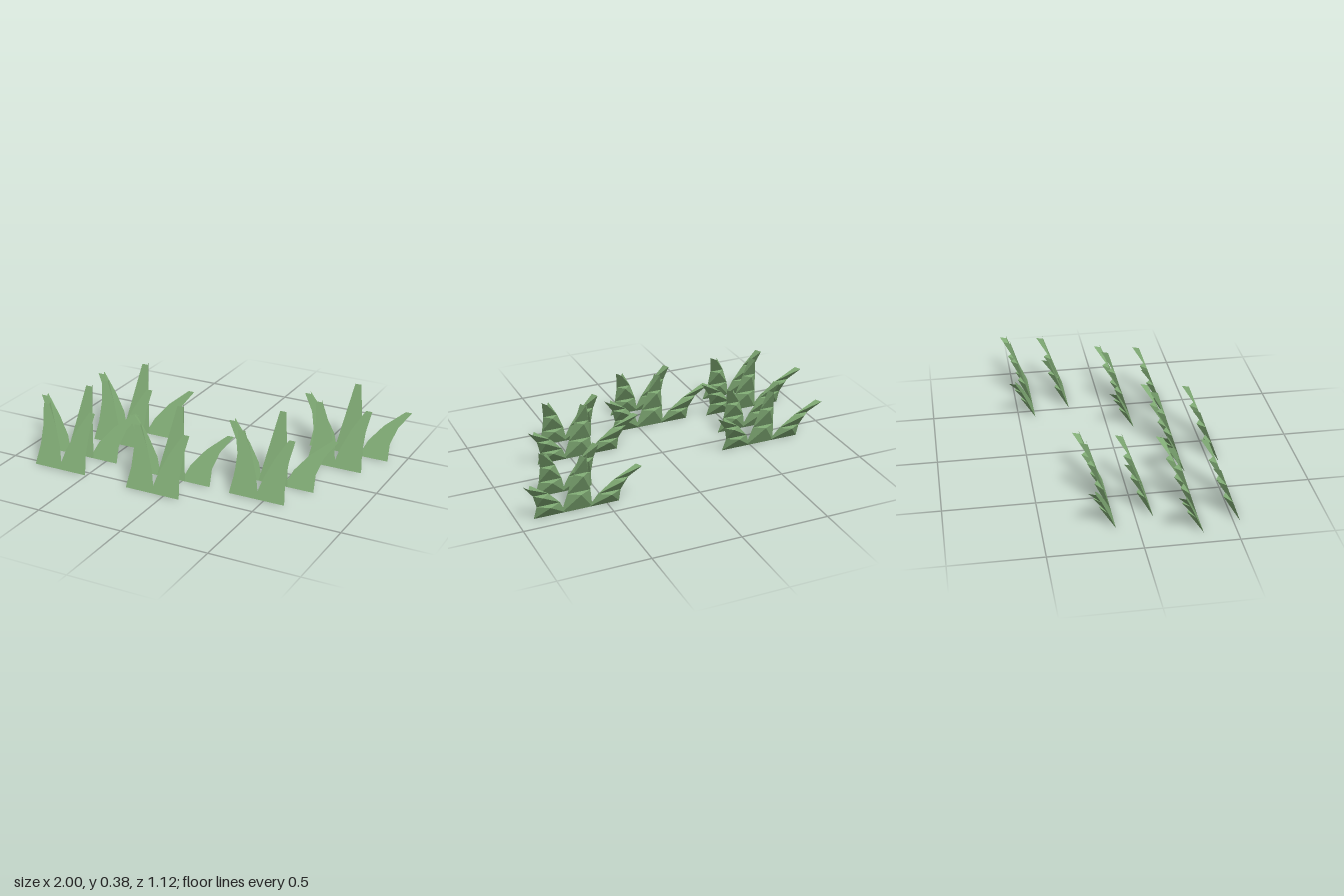
import * as THREE from 'three';

const SEGMENTS = 3;
const LEAN = 0.116;      // how far each blade tip leans back
const RIDGE = 0.038;     // depth of the ridge behind each segment
const BASE_WIDTH = 0.175;
const TIP_WIDTH = 0.037;

// One stepped blade: a flat tapering front with a wedge-shaped barb behind every segment
function bladeGeometry(height, bend) {
  const rings = [];
  for (let i = 0; i <= SEGMENTS; i++) {
    const t = i / SEGMENTS;
    const half = THREE.MathUtils.lerp(BASE_WIDTH, TIP_WIDTH, t) / 2;
    const x = bend * t * t, y = height * t, z = -LEAN * t;
    rings.push({ left: [x - half, y, z], right: [x + half, y, z], ridge: [x, y, z - RIDGE] });
  }

  const points = [];
  const tri = (a, b, c) => points.push(...a, ...b, ...c);
  for (let i = 0; i < SEGMENTS; i++) {
    const lo = rings[i], hi = rings[i + 1];
    tri(lo.left, lo.right, hi.right);   // front
    tri(lo.left, hi.right, hi.left);
    tri(lo.right, lo.left, hi.ridge);   // underside of the barb
    tri(lo.right, hi.ridge, hi.right);  // right flank
    tri(lo.left, hi.left, hi.ridge);    // left flank
    if (i < SEGMENTS - 1) tri(hi.left, hi.right, hi.ridge); // ledge; the tip stays open
  }
  const geometry = new THREE.BufferGeometry();
  geometry.setAttribute('position', new THREE.Float32BufferAttribute(points, 3));
  geometry.computeVertexNormals();
  return geometry;
}

export function createModel() {
  const model = new THREE.Group();
  model.name = 'grassPatch';

  const grass = new THREE.MeshStandardMaterial({ color: 0x84b078 });
  grass.name = 'grassGreen';

  // Blades of one tuft: three in the back row, two in the front row
  const blades = [
    { name: 'centreBlade', x: 0, z: 0, geometry: bladeGeometry(0.385, 0) },
  ];
  for (const [side, s] of [['left', 1], ['right', -1]]) {
    blades.push(
      { name: side + 'OuterBlade', x: s * 0.152, z: 0, geometry: bladeGeometry(0.27, s * 0.157) },
      { name: side + 'FrontBlade', x: s * 0.076, z: 0.21, geometry: bladeGeometry(0.326, s * 0.074) },
    );
  }

  // Tufts, placed by the foot of their back row
  const tufts = [[0.671, -0.403], [-0.561, -0.115], [0.457, 0.152], [-0.672, 0.326], [-0.07, 0.348]];
  tufts.forEach(([x, z], i) => {
    const tuft = new THREE.Group();
    tuft.name = 'grassTuft' + (i + 1);
    tuft.position.set(x, 0, z);
    for (const blade of blades) {
      const mesh = new THREE.Mesh(blade.geometry, grass);
      mesh.name = blade.name;
      mesh.position.set(blade.x, 0, blade.z);
      tuft.add(mesh);
    }
    model.add(tuft);
  });
  return model;
}
